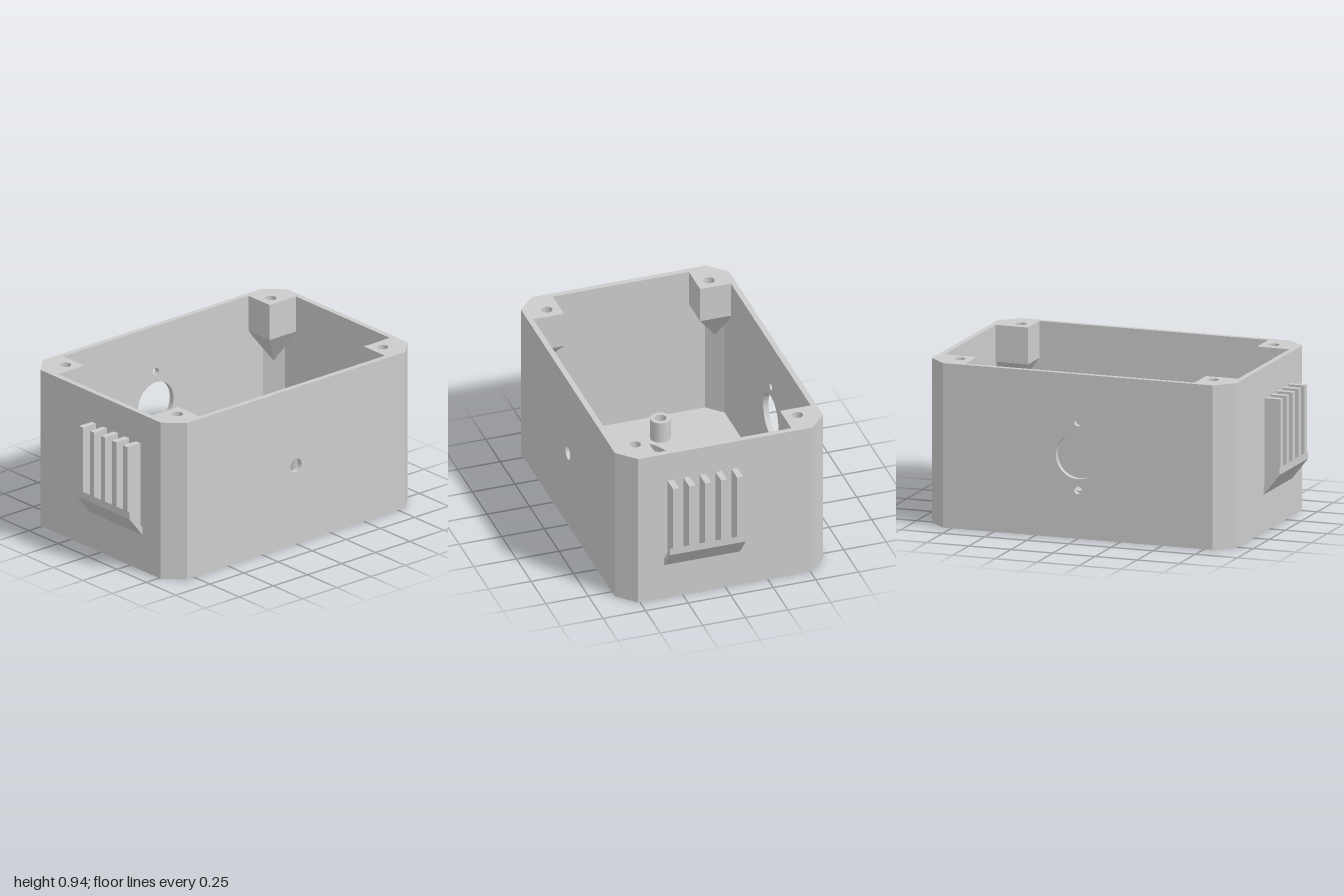
import * as THREE from 'three';
import { ConvexGeometry } from 'three/addons/geometries/ConvexGeometry.js';

const H = 0.936, FLOOR = 0.032, POST_Y = 0.726, RECESS = 0.012;
const EYE_X = 0.415, EYE_Z = 0.1, EYE_R = 0.243;

const poly = (pts) => new THREE.Shape(pts.map(([a, b]) => new THREE.Vector2(a, b)));
const circle = (x, y, r) => {
  const p = new THREE.Path();
  p.absarc(x, y, r, 0, Math.PI * 2, true);
  return p;
};
const extrude = (shape, depth) =>
  new THREE.ExtrudeGeometry(shape, { depth, bevelEnabled: false, curveSegments: 32 });

// Plan outline drawn in (x, z), filled between two heights
const slab = (shape, y0, y1) => extrude(shape, y1 - y0).rotateX(Math.PI / 2).translate(0, y1, 0);
// Outline drawn in (x, y), filled between two depths
const plate = (shape, z0, z1) => extrude(shape, z1 - z0).translate(0, 0, z0);

const rect = (x0, y0, x1, y1) => [[x0, y0], [x1, y0], [x1, y1], [x0, y1]];
// Counter-clockwise, so that holes are turned to face inwards
const octagon = () => poly([
  [-0.8, 0.612], [-0.905, 0.512], [-0.905, -0.512], [-0.8, -0.612],
  [0.8, -0.612], [0.905, -0.512], [0.905, 0.512], [0.8, 0.612],
]);

export function createModel() {
  const model = new THREE.Group();
  const grey = new THREE.MeshStandardMaterial({ color: 0xcccccc });
  grey.name = 'plainGrey';
  const add = (name, geometry) => {
    const mesh = new THREE.Mesh(geometry, grey);
    mesh.name = name;
    model.add(mesh);
    return mesh;
  };
  const sides = [1, -1];

  // Underside skin with shallow round and rectangular recesses
  const skin = octagon();
  for (const s of sides) skin.holes.push(circle(s * EYE_X, EYE_Z, 0.348));
  skin.holes.push(poly(rect(-0.68, -0.4, 0.68, -0.26)));
  add('underside', slab(skin, 0, RECESS));

  // Floor with the two large openings
  const floor = octagon();
  for (const s of sides) floor.holes.push(circle(s * EYE_X, EYE_Z, EYE_R));
  add('floor', slab(floor, RECESS, FLOOR));

  // Front wall: one small hole. Back wall: a large hole between two screw holes
  const front = poly(rect(-0.8, FLOOR, 0.8, POST_Y));
  front.holes.push(circle(0, 0.469, 0.04));
  add('frontWall', plate(front, 0.58, 0.612));
  const back = poly(rect(-0.8, FLOOR, 0.8, POST_Y));
  back.holes.push(circle(0, 0.469, 0.13), circle(0, 0.662, 0.022), circle(0, 0.276, 0.022));
  add('backWall', plate(back, -0.612, -0.58));

  // Upper rim: walls and corner posts with screw holes
  const rim = octagon();
  rim.holes.push(poly([
    [0.68, 0.58], [0.68, 0.4], [0.872, 0.4], [0.872, -0.4], [0.68, -0.4], [0.68, -0.58],
    [-0.68, -0.58], [-0.68, -0.4], [-0.872, -0.4], [-0.872, 0.4], [-0.68, 0.4], [-0.68, 0.58],
  ]));
  for (const sx of sides) for (const sz of sides) rim.holes.push(circle(sx * 0.752, sz * 0.476, 0.032));
  add('upperRim', slab(rim, POST_Y, H));

  for (const s of sides) {
    const mirror = (pts) => poly(pts.map(([a, b]) => [s * a, b]));

    // Side wall with its chamfered corners
    add('sideWall', slab(mirror([
      [0.8, 0.612], [0.905, 0.512], [0.905, -0.512], [0.8, -0.612],
      [0.785, -0.58], [0.872, -0.495], [0.872, 0.495], [0.785, 0.58],
    ]), FLOOR, POST_Y));

    // Tapered feet under the corner posts
    for (const sz of sides) {
      const foot = [[0.68, 0.4], [0.88, 0.4], [0.88, 0.5], [0.79, 0.59], [0.68, 0.59]]
        .map(([x, z]) => new THREE.Vector3(s * x, POST_Y, sz * z));
      foot.push(new THREE.Vector3(s * 0.83, 0.52, sz * 0.54));
      add('postTaper', new ConvexGeometry(foot));
    }

    // Vent: sloping louver and five upright fins
    add('ventLouver', plate(mirror([[0.9, 0.207], [1, 0.333], [1, 0.375], [0.9, 0.252]]), -0.088, 0.358));
    for (let i = 0; i < 5; i++) {
      const z = -0.074 + i * 0.094;
      add('ventFin', plate(mirror([[0.9, 0.25], [1, 0.374], [1, 0.76], [0.9, 0.76]]), z, z + 0.036));
    }

    // Low collar around the opening, with a tab towards the centre
    const a = Math.asin(0.133 / 0.271);
    const collar = new THREE.Shape();
    collar.absarc(0, 0, 0.271, -Math.PI + a, Math.PI - a, false);
    collar.lineTo(-0.31, 0.133);
    collar.lineTo(-0.31, -0.133);
    collar.closePath();
    collar.holes.push(circle(0, 0, EYE_R));
    const ring = add('openingCollar', slab(collar, FLOOR, 0.046));
    ring.position.set(s * EYE_X, 0, EYE_Z);
    ring.rotation.y = s > 0 ? 0 : Math.PI;

    // Hollow standoffs
    for (const [x, z] of [[0.655, -0.158], [0.178, 0.358]]) {
      const standoff = new THREE.Shape().absarc(s * x, z, 0.058, 0, Math.PI * 2, false);
      standoff.holes.push(circle(s * x, z, 0.033));
      add('standoff', slab(standoff, FLOOR, 0.158));
    }
  }

  // Raised strip running in from the back wall
  add('centreStrip', slab(poly(rect(-0.11, -0.585, 0.11, 0.065)), FLOOR, 0.075));

  return model;
}
